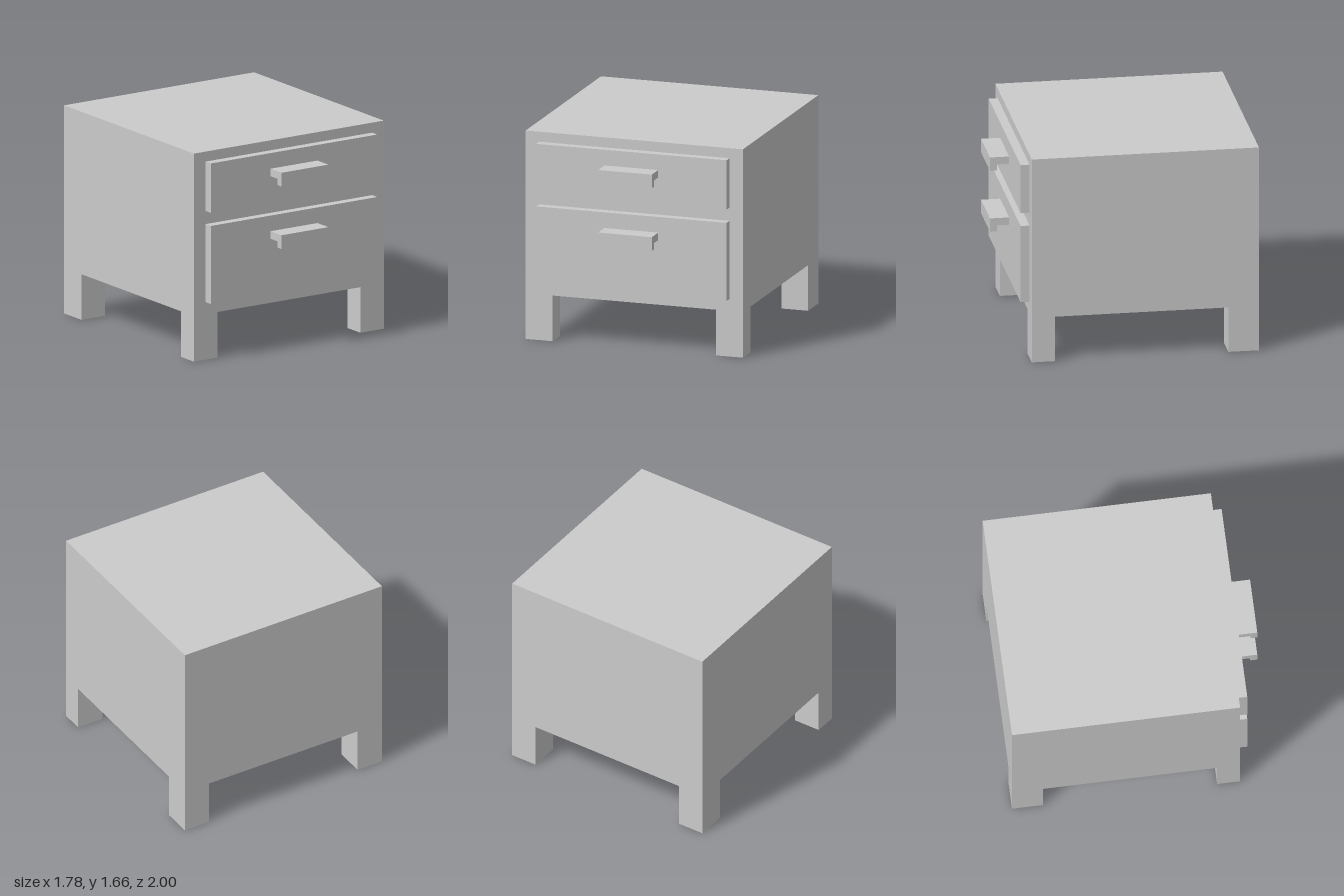
import * as THREE from 'three';

const material = new THREE.MeshStandardMaterial({ color: 0xcccccc, flatShading: true });

// Box given by its minimum and maximum on each axis
function box(name, [x0, x1], [y0, y1], [z0, z1]) {
  const mesh = new THREE.Mesh(new THREE.BoxGeometry(x1 - x0, y1 - y0, z1 - z0), material);
  mesh.position.set((x0 + x1) / 2, (y0 + y1) / 2, (z0 + z1) / 2);
  mesh.name = name;
  return mesh;
}

// L-shaped pull: a shelf with a lip hanging from its front edge
function handleGeometry() {
  const width = 0.44;
  const profile = new THREE.Shape(
    [[0, -0.06], [0.095, -0.06], [0.095, -0.11], [0.15, -0.11], [0.15, 0], [0, 0]]
      .map(([z, y]) => new THREE.Vector2(z, y))
  );
  return new THREE.ExtrudeGeometry(profile, { depth: width, bevelEnabled: false })
    .translate(0, 0, -width / 2)
    .rotateY(-Math.PI / 2);
}

export function createModel() {
  const model = new THREE.Group();
  model.name = 'nightstand';

  const halfWidth = 0.89, back = -1, front = 0.78, drawerFront = 0.85;
  const bodyBottom = 0.365, bodyTop = 1.665, legWidth = 0.22;

  // Cabinet body
  model.add(box('cabinet', [-halfWidth, halfWidth], [bodyBottom, bodyTop], [back, front]));

  // Four corner legs, the back pair deeper than the front pair
  for (const [side, x] of [['left', halfWidth - legWidth], ['right', -halfWidth]]) {
    model.add(box(`${side}FrontLeg`, [x, x + legWidth], [0, bodyBottom], [0.6, front]));
    model.add(box(`${side}BackLeg`, [x, x + legWidth], [0, bodyBottom], [back, -0.76]));
  }

  // Drawer fronts with their handles
  const pull = handleGeometry();
  const drawers = [
    { name: 'upper', y: [1.19, 1.585], handleTop: 1.46 },
    { name: 'lower', y: [0.46, 1.085], handleTop: 0.96 },
  ];
  for (const { name, y, handleTop } of drawers) {
    model.add(box(`${name}Drawer`, [-0.78, 0.78], y, [front, drawerFront]));
    const handle = new THREE.Mesh(pull, material);
    handle.name = `${name}Handle`;
    handle.position.set(0, handleTop, drawerFront);
    model.add(handle);
  }

  return model;
}
